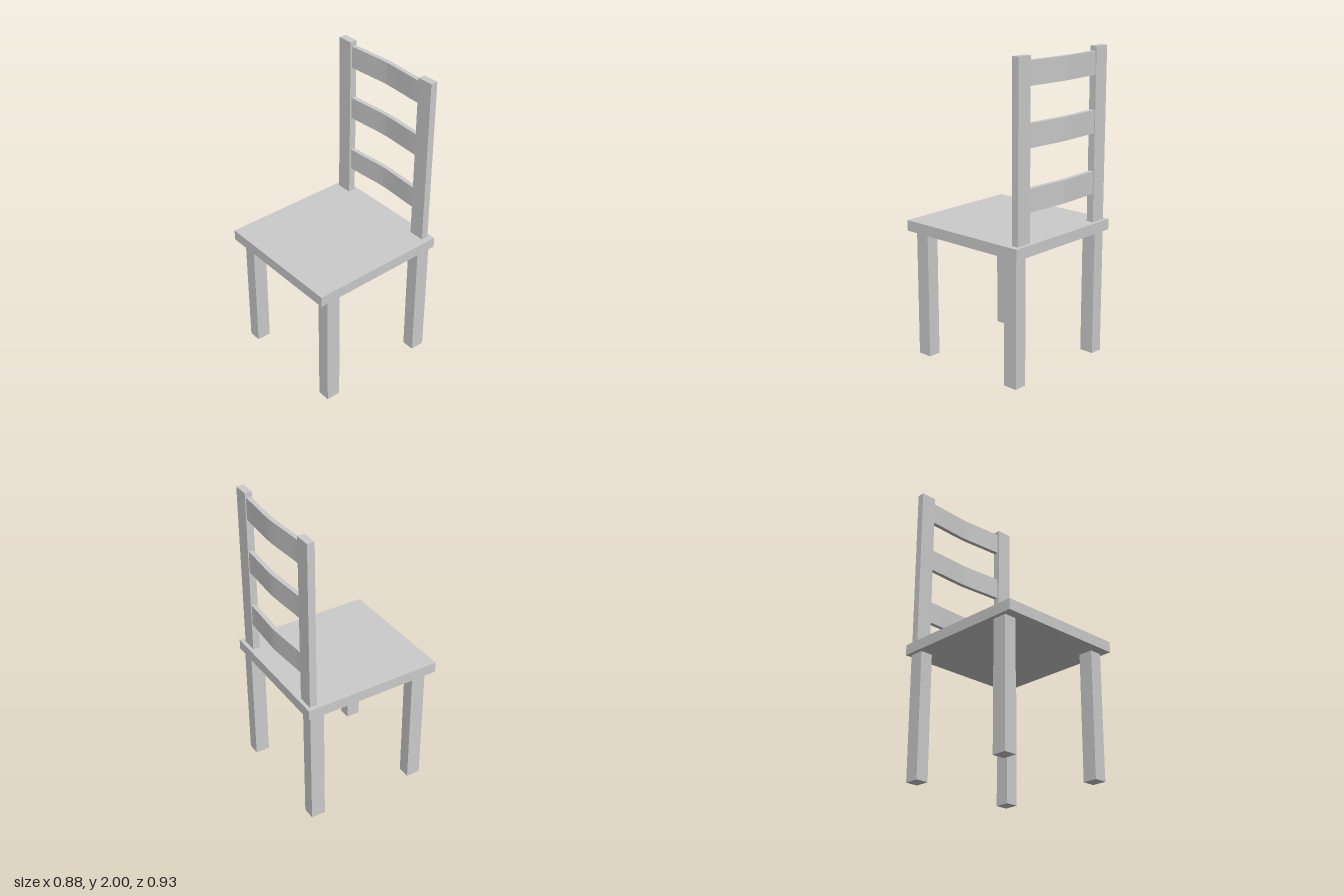
import * as THREE from 'three';

const material = new THREE.MeshStandardMaterial({ color: 0xcccccc, flatShading: true });

// Box given by its lower and upper bounds on each axis
function block(name, [x0, x1], [y0, y1], [z0, z1]) {
  const geometry = new THREE.BoxGeometry(x1 - x0, y1 - y0, z1 - z0);
  geometry.translate((x0 + x1) / 2, (y0 + y1) / 2, (z0 + z1) / 2);
  const mesh = new THREE.Mesh(geometry, material);
  mesh.name = name;
  return mesh;
}

// Horizontal back slat, gently bowed towards the rear
function slat(name, bottom, height) {
  const centre = -0.005, half = 0.302, segments = 12;
  const front = [], back = [];
  for (let i = 0; i <= segments; i++) {
    const t = (i / segments) * 2 - 1;
    const bow = 0.016 * (0.5 * (1 - Math.abs(t)) + 0.25 * (1 + Math.cos(Math.PI * t)));
    const x = centre + half * t;
    front.push(new THREE.Vector2(x, 0.405 + bow));
    back.unshift(new THREE.Vector2(x, 0.434 + bow));
  }
  const geometry = new THREE.ExtrudeGeometry(new THREE.Shape([...front, ...back]), {
    depth: height, bevelEnabled: false,
  });
  geometry.rotateX(-Math.PI / 2);
  geometry.translate(0, bottom, 0);
  const mesh = new THREE.Mesh(geometry, material);
  mesh.name = name;
  return mesh;
}

export function createModel() {
  const chair = new THREE.Group();
  chair.name = 'chair';

  // Seat board
  chair.add(block('seat', [-0.44, 0.44], [0.825, 0.895], [-0.464, 0.464]));

  // Four legs
  const legSides = { Right: [-0.414, -0.329], Left: [0.333, 0.418] };
  const legRows = { front: [0.305, 0.401], back: [-0.44, -0.344] };
  for (const [row, z] of Object.entries(legRows)) {
    for (const [side, x] of Object.entries(legSides)) {
      chair.add(block(`${row}${side}Leg`, x, [0, 0.825], z));
    }
  }

  // Back posts
  chair.add(block('rightBackPost', [-0.412, -0.307], [0.895, 2], [-0.44, -0.392]));
  chair.add(block('leftBackPost', [0.297, 0.402], [0.895, 2], [-0.44, -0.392]));

  // Back slats
  chair.add(slat('lowerSlat', 1.08, 0.145));
  chair.add(slat('middleSlat', 1.465, 0.145));
  chair.add(slat('upperSlat', 1.825, 0.145));

  return chair;
}
